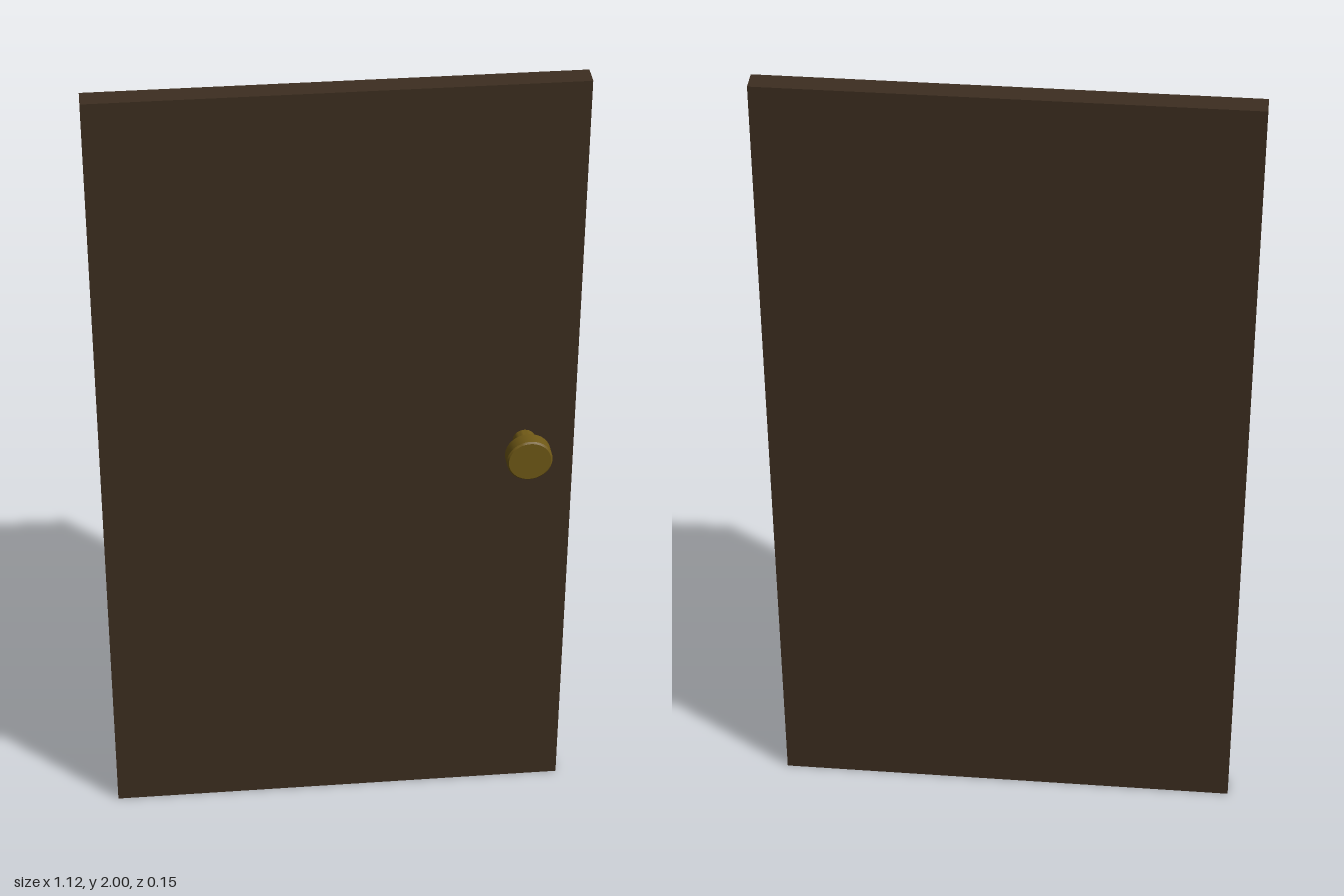
import * as THREE from 'three';
import { toCreasedNormals } from 'three/addons/utils/BufferGeometryUtils.js';

export function createModel() {
  const group = new THREE.Group();
  const wood = new THREE.MeshStandardMaterial({ color: 0x3d2e20 });
  const brass = new THREE.MeshStandardMaterial({ color: 0x705916 });

  // Door slab, turned very slightly about the vertical
  const panel = new THREE.Mesh(new THREE.BoxGeometry(1.12, 2, 0.052), wood);
  panel.name = 'doorPanel';
  panel.position.set(0, 1, -0.047);
  panel.rotation.y = -0.0094;
  group.add(panel);

  // Turned knob: neck, flare, drum and bevelled face (radius, distance along z)
  const profile = [
    [0, -0.03], [0.027, -0.03], [0.027, 0.007], [0.054, 0.04],
    [0.054, 0.071], [0.05, 0.075], [0, 0.075],
  ].map(([r, d]) => new THREE.Vector2(r, d));
  const knobGeometry = toCreasedNormals(new THREE.LatheGeometry(profile, 32), 0.5);
  knobGeometry.rotateX(Math.PI / 2);
  const knob = new THREE.Mesh(knobGeometry, brass);
  knob.name = 'doorKnob';
  knob.position.set(0.441, 1.05, 0);
  group.add(knob);

  return group;
}
